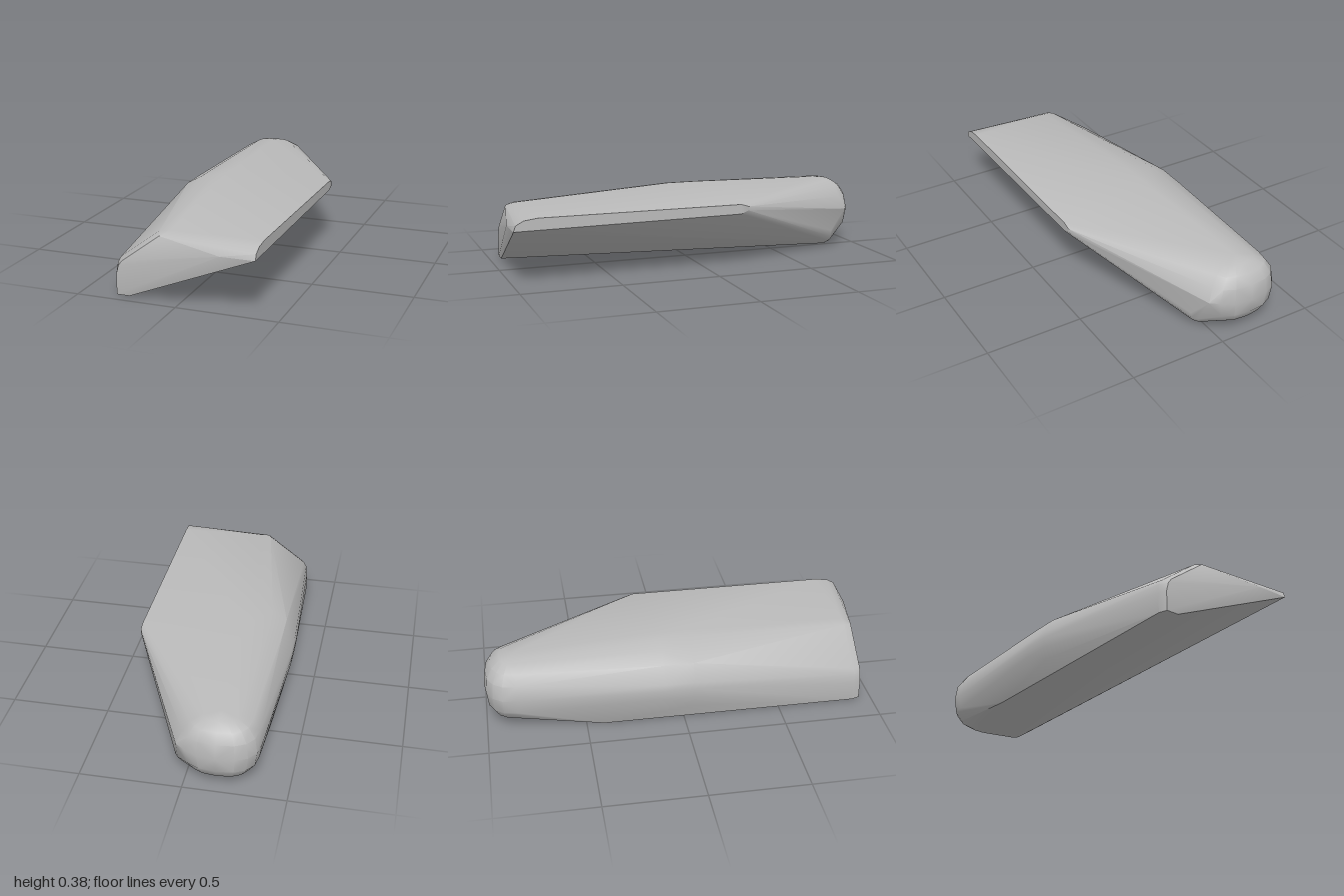
import * as THREE from 'three';
import { ConvexGeometry } from 'three/addons/geometries/ConvexGeometry.js';
import { toCreasedNormals } from 'three/addons/utils/BufferGeometryUtils.js';

// Points of a softly squared ellipsoid; power below 1 makes it boxier
function lobe(center, radii, power, rows = 8, columns = 16) {
  const soft = (v) => (Math.abs(v) < 1e-9 ? 0 : Math.sign(v) * Math.abs(v) ** power);
  const points = [];
  for (let i = 0; i <= rows; i++) {
    const lat = -Math.PI / 2 + (Math.PI * i) / rows;
    const count = i === 0 || i === rows ? 1 : columns;
    for (let j = 0; j < count; j++) {
      const lon = (2 * Math.PI * j) / columns;
      points.push(new THREE.Vector3(
        center[0] + radii[0] * soft(Math.cos(lat)) * soft(Math.cos(lon)),
        center[1] + radii[1] * soft(Math.sin(lat)),
        center[2] + radii[2] * soft(Math.cos(lat)) * soft(Math.sin(lon))));
    }
  }
  return points;
}

// A cross-section of [x, y] pairs placed at one depth
const section = (z, pairs) => pairs.map(([x, y]) => new THREE.Vector3(x, y, z));

export function createModel() {
  const group = new THREE.Group();
  group.name = 'wedgeShell';
  const grey = new THREE.MeshStandardMaterial({ color: 0xbbbbbb });
  grey.name = 'plain grey';

  const middle = [[-0.37, 0.08], [-0.385, 0.14], [-0.39, 0.19], [-0.385, 0.225],
    [-0.335, 0.31], [-0.26, 0.35], [-0.17, 0.37], [-0.12, 0.377]];

  const points = [
    // front face rim and the rounded edge behind it
    ...section(0.94, [[-0.325, 0], [-0.26, 0], [-0.325, 0.1], [-0.313, 0.145],
      [-0.295, 0.17], [-0.1, 0.315]]),
    ...section(0.9, [[-0.34, 0], [-0.34, 0.1], [-0.333, 0.15], [-0.318, 0.175],
      [-0.115, 0.326], [-0.06, 0.334]]),
    // overhanging lip along the +x edge
    ...section(1, [[0.22, 0.273], [0.39, 0.273]]),
    ...section(0.99, [[0.39, 0.302]]),
    ...section(0.95, [[0.39, 0.324]]),
    ...section(0.88, [[0.39, 0.333]]),
    ...section(-0.16, [[0.39, 0.284], [0.39, 0.333]]),
    ...section(-0.2, [[0.39, 0.3], [0.39, 0.32]]),
    // widest and highest part of the back
    ...section(0.05, middle),
    ...section(-0.1, middle),
    ...section(-0.41, [[-0.34, 0]]),
    // rounded rear end with its lower side lobe
    ...lobe([-0.16, 0.19, -0.84], [0.195, 0.168, 0.16], 0.8),
    ...lobe([-0.005, 0.09, -0.8], [0.085, 0.085, 0.085], 1),
    ...section(-0.93, [[0.04, 0.2], [-0.05, 0.07]]),
    ...section(-0.96, [[0, 0.2]]),
    ...section(-0.98, [[-0.1, 0.13]]),
  ];

  const shell = new THREE.Mesh(toCreasedNormals(new ConvexGeometry(points), 0.5), grey);
  shell.name = 'shell';
  group.add(shell);
  return group;
}
